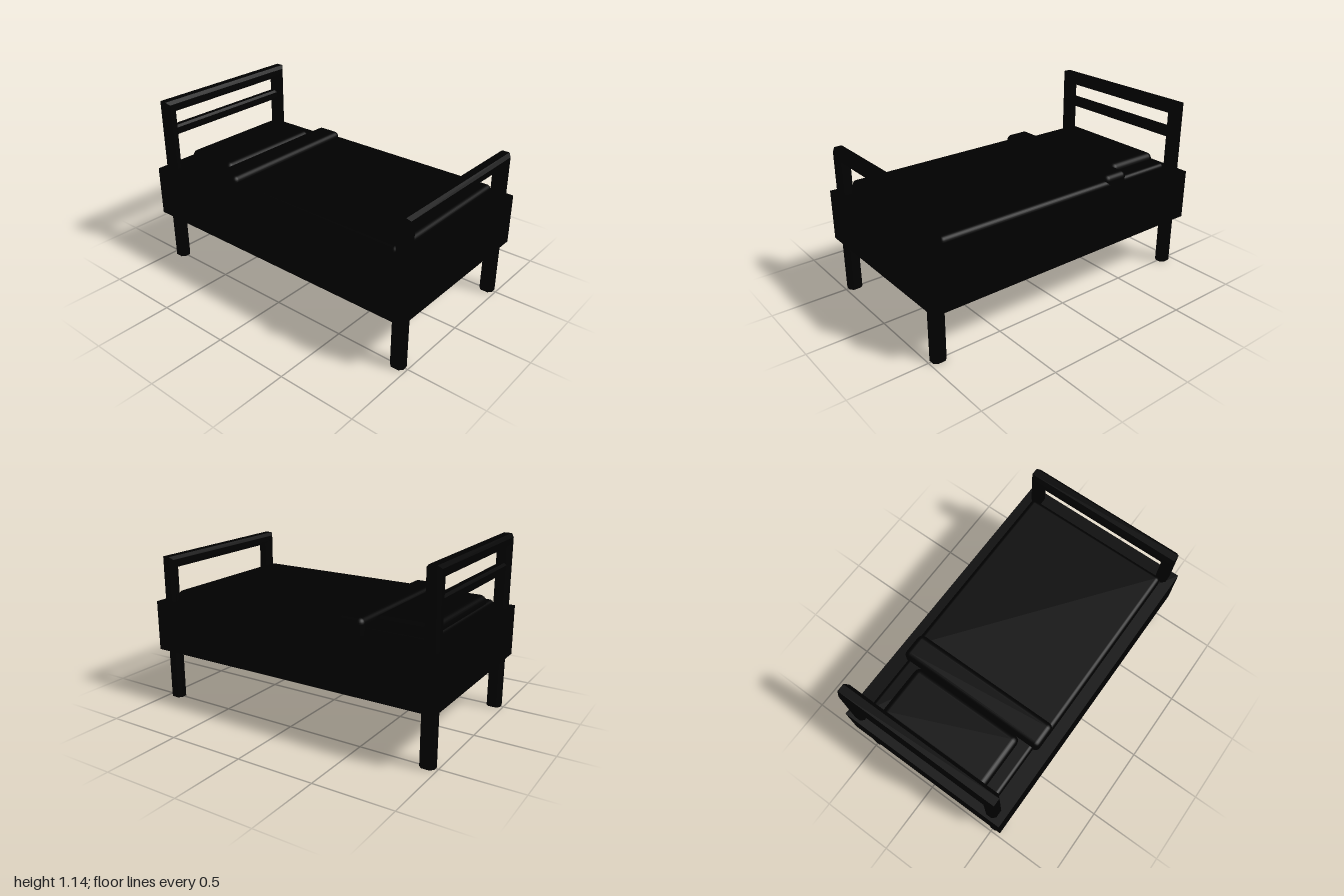
import * as THREE from 'three';
import { RoundedBoxGeometry } from 'three/addons/geometries/RoundedBoxGeometry.js';

const material = new THREE.MeshStandardMaterial({ color: 0x000000 });
const POST = 0.077, DEPTH = 0.09, POST_X = 0.5015;

function add(parent, name, geometry, x, y, z) {
  const mesh = new THREE.Mesh(geometry, material);
  mesh.name = name;
  mesh.position.set(x, y, z);
  parent.add(mesh);
  return mesh;
}

// Bevelled bar along z from 0 to length; trim(u, v) gives [start, end] shifts for mitres.
function beam(w, h, length, bevel, trim = () => [0, 0]) {
  const a = w / 2, b = h / 2, c = bevel;
  const section = new THREE.Shape([
    [a, c - b], [a, b - c], [a - c, b], [c - a, b],
    [-a, b - c], [-a, c - b], [c - a, -b], [a - c, -b],
  ].map(([x, y]) => new THREE.Vector2(x, y)));
  const geometry = new THREE.ExtrudeGeometry(section, { depth: length, bevelEnabled: false });
  const p = geometry.attributes.position;
  for (let i = 0; i < p.count; i++) {
    const [start, end] = trim(p.getX(i), p.getY(i));
    const z = p.getZ(i);
    p.setZ(i, z < length / 2 ? z + start : z + end);
  }
  geometry.computeVertexNormals();
  return geometry;
}

// Two full-height posts joined by a mitred top rail
function endFrame(name, height, z) {
  const group = new THREE.Group();
  group.name = name;
  group.position.z = z;
  for (const side of [-1, 1]) {
    const post = beam(POST, DEPTH, height, 0.02, (u) => [0, side * u - POST / 2]);
    add(group, side > 0 ? 'leftPost' : 'rightPost', post.rotateX(-Math.PI / 2), side * POST_X, 0, 0);
  }
  const span = 2 * POST_X + POST;
  const rail = beam(DEPTH, POST, span, 0.02, (u, v) => [POST / 2 - v, v - POST / 2]);
  add(group, 'topRail', rail.rotateY(Math.PI / 2), -span / 2, height - POST / 2, 0);
  return group;
}

// Rounded block given by its limits in x (half width), y and z
function cushion(parent, name, halfX, y0, y1, z0, z1, radius) {
  const geometry = new RoundedBoxGeometry(2 * halfX, y1 - y0, z1 - z0, 3, radius);
  return add(parent, name, geometry, 0, (y0 + y1) / 2, (z0 + z1) / 2);
}

export function createModel() {
  const bed = new THREE.Group();
  bed.name = 'bed';

  // Deep box base
  add(bed, 'bedBase', new THREE.BoxGeometry(1.17, 0.33, 2), 0, 0.51, 0);

  // Headboard with a second rail, and lower footboard
  const head = endFrame('headboard', 1.145, -0.937);
  const middle = beam(0.06, 0.066, 2 * POST_X, 0.014).rotateY(Math.PI / 2);
  add(head, 'middleRail', middle, -POST_X, 0.936, 0);
  bed.add(head, endFrame('footboard', 0.97, 0.937));

  // Bedding
  cushion(bed, 'mattress', 0.48, 0.6, 0.725, -0.9, 0.88, 0.025);
  cushion(bed, 'blanket', 0.51, 0.6, 0.745, -0.42, 0.89, 0.03);
  cushion(bed, 'blanketFold', 0.51, 0.65, 0.778, -0.51, -0.33, 0.035);
  cushion(bed, 'pillow', 0.39, 0.68, 0.775, -0.89, -0.51, 0.04);

  return bed;
}
